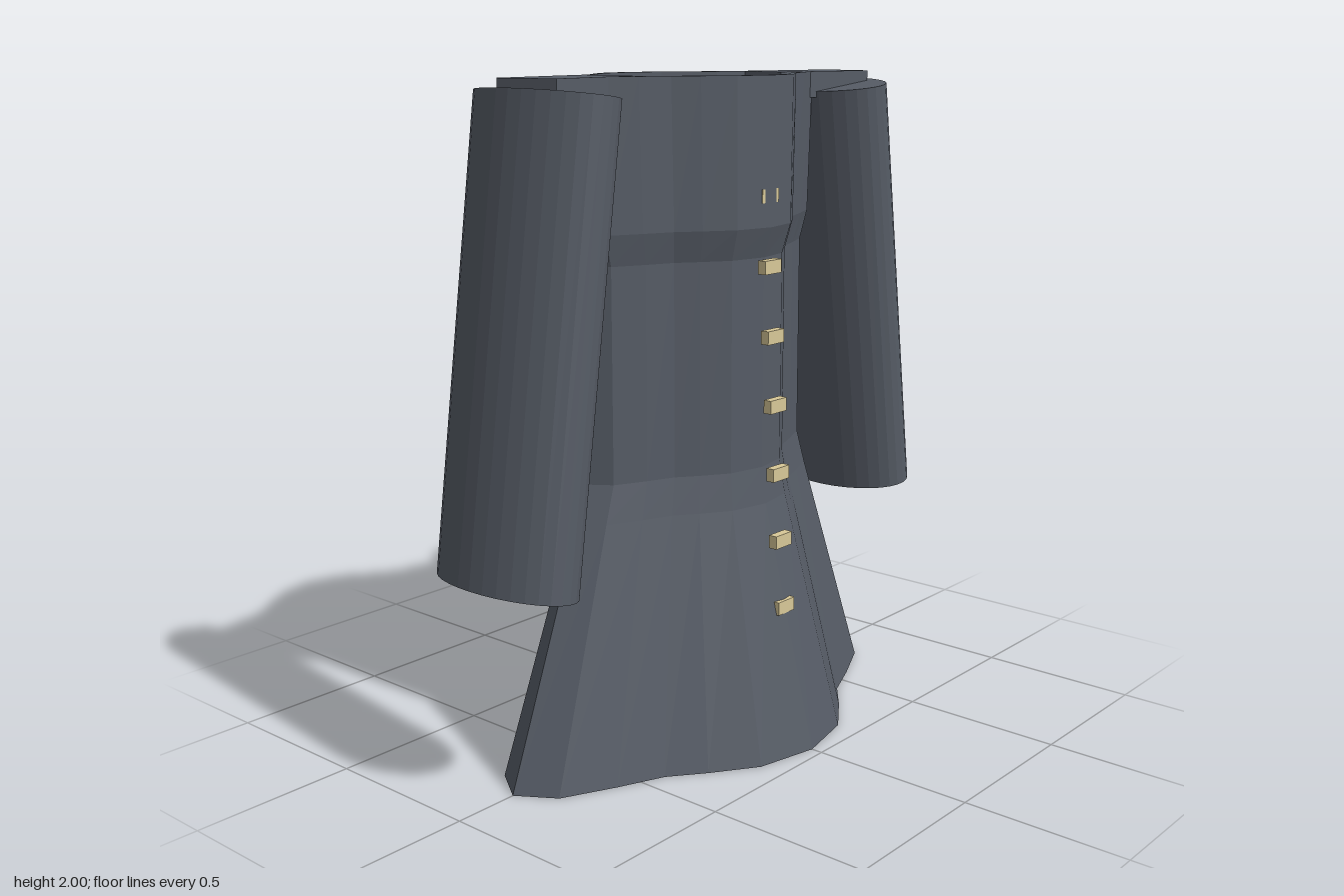
import * as THREE from 'three';

const cloth = new THREE.MeshStandardMaterial({ color: 0x565c66, flatShading: true });
const brass = new THREE.MeshStandardMaterial({ color: 0xd8c898, flatShading: true });

function add(parent, name, geometry, material, x = 0, y = 0, z = 0) {
  const mesh = new THREE.Mesh(geometry, material);
  mesh.name = name;
  mesh.position.set(x, y, z);
  parent.add(mesh);
  return mesh;
}

// Hollow shell of four-lobed rings: [y, half width, half depth] from hem to neck
function shellGeometry(levels, wall, sides) {
  const inner = levels.map(([y, w, d]) => [y, w - wall, d - wall]).reverse();
  const rows = [...levels, ...inner];
  const positions = [];
  const indices = [];
  for (const [y, w, d] of rows) {
    for (let j = 0; j < sides; j++) {
      const a = (j / sides) * Math.PI * 2;
      const fold = 0.88 + 0.12 * Math.cos(4 * a);
      positions.push(w * fold * Math.cos(a), y, d * fold * Math.sin(a));
    }
  }
  for (let i = 0; i < rows.length; i++) {
    const next = (i + 1) % rows.length;
    for (let j = 0; j < sides; j++) {
      const k = (j + 1) % sides;
      const a = i * sides + j, b = i * sides + k;
      const c = next * sides + j, d = next * sides + k;
      indices.push(a, c, b, b, c, d);
    }
  }
  const geometry = new THREE.BufferGeometry();
  geometry.setAttribute('position', new THREE.Float32BufferAttribute(positions, 3));
  geometry.setIndex(indices);
  const flat = geometry.toNonIndexed();
  flat.computeVertexNormals();
  return flat;
}

export function createModel() {
  const coat = new THREE.Group();
  coat.name = 'coat';

  // Flared skirt, waist and chest in one shell
  const levels = [
    [0, 0.8, 0.465],
    [0.74, 0.52, 0.278],
    [0.85, 0.48, 0.262],
    [1.48, 0.48, 0.262],
    [1.57, 0.51, 0.29],
    [2, 0.53, 0.29],
  ];
  add(coat, 'coatBody', shellGeometry(levels, 0.02, 24), cloth);

  for (const side of [1, -1]) {
    const label = side > 0 ? 'left' : 'right';

    // Oval sleeve, tilted outwards
    const sleeveGeometry = new THREE.CylinderGeometry(0.14, 0.14, 1.34, 32);
    sleeveGeometry.scale(1, 1, 0.245 / 0.14);
    const sleeve = add(coat, label + 'Sleeve', sleeveGeometry, cloth, side * 0.705, 1.293, 0);
    sleeve.rotation.z = side * 0.142;

    // Shoulder strap, turned slightly forward at the outer end
    const strap = add(coat, label + 'ShoulderStrap', new THREE.BoxGeometry(0.37, 0.08, 0.19),
      cloth, side * 0.535, 1.96, 0);
    strap.rotation.y = -side * 0.19;
  }

  // Row of front buttons, stepping forward towards the hem
  const buttonGeometry = new THREE.BoxGeometry(0.075, 0.04, 0.027);
  for (let i = 0; i < 7; i++) {
    add(coat, 'button' + (i + 1), buttonGeometry, brass, 0, 1.66 - i * 0.2045, 0.271 + i * 0.0127);
  }

  return coat;
}
